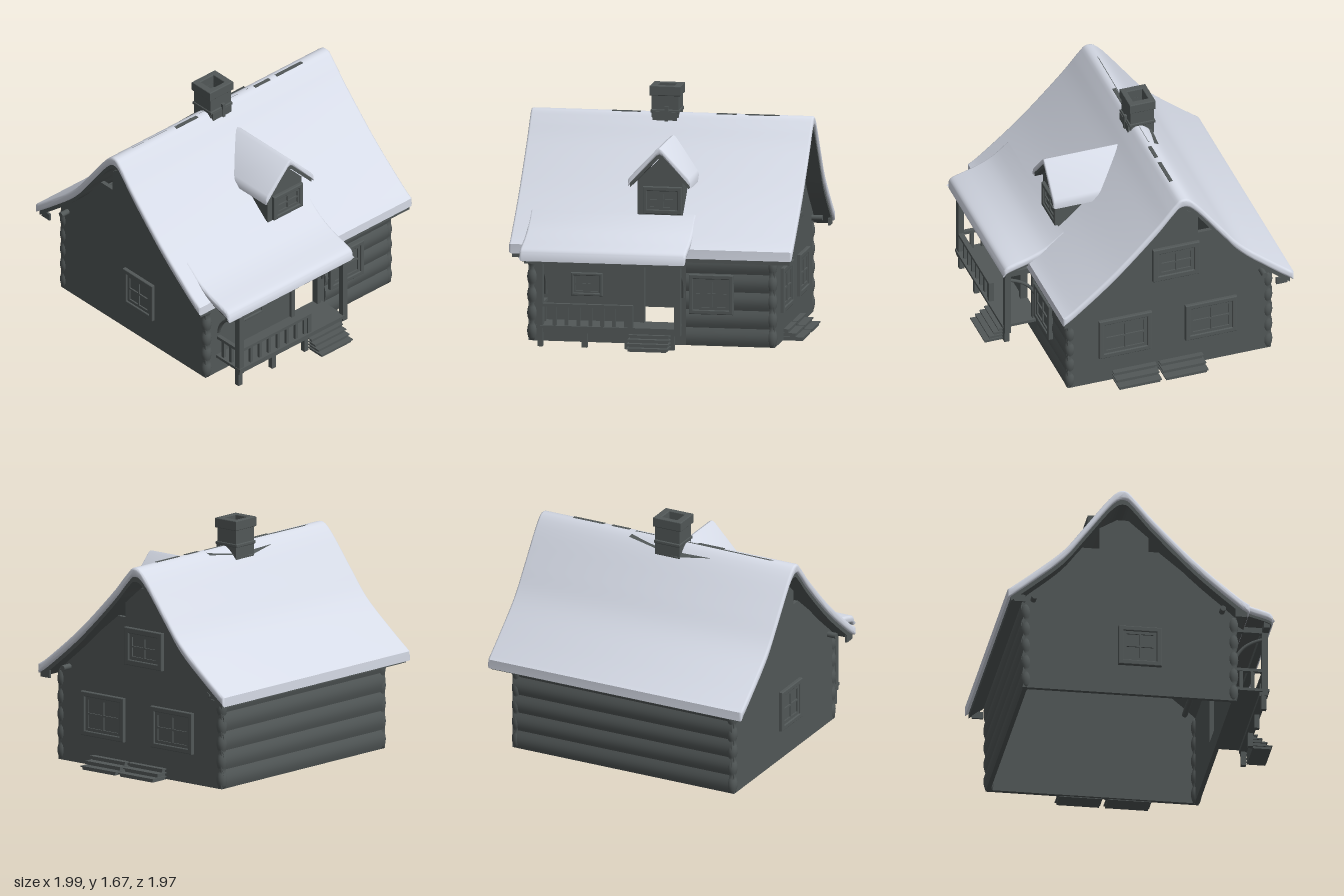
import * as THREE from 'three';
import { toCreasedNormals } from 'three/addons/utils/BufferGeometryUtils.js';

const wood = new THREE.MeshStandardMaterial({ color: 0x525858 });
wood.name = 'weathered wood';
const snow = new THREE.MeshStandardMaterial({ color: 0xd9deea });
snow.name = 'snow';

const V2 = (a) => a.map(([x, y]) => new THREE.Vector2(x, y));

function add(parent, name, geo, mat = wood) {
  const m = new THREE.Mesh(geo, mat);
  m.name = name;
  parent.add(m);
  return m;
}

// box given by its min and max corners
function box(parent, name, x0, x1, y0, y1, z0, z1, mat = wood) {
  const m = add(parent, name, new THREE.BoxGeometry(x1 - x0, y1 - y0, z1 - z0), mat);
  m.position.set((x0 + x1) / 2, (y0 + y1) / 2, (z0 + z1) / 2);
  return m;
}

// extrude an (x, y) shape from z0 to z1, edges rounded by b
function extrudeZ(shape, z0, z1, b = 0) {
  const g = new THREE.ExtrudeGeometry(shape, {
    depth: z1 - z0 - 2 * b, bevelEnabled: b > 0, bevelSize: b,
    bevelThickness: b, bevelOffset: -b, bevelSegments: 3,
  });
  g.translate(0, 0, z0 + b);
  return g;
}

// extrude a (z, y) shape from x0 to x1
function extrudeX(shape, x0, x1, b = 0) {
  const g = extrudeZ(shape, -x1, -x0, b);
  g.rotateY(-Math.PI / 2);
  return b ? toCreasedNormals(g, 0.9) : g;
}

// slab hanging between two depths below a roof line
function slab(line, d0, d1) {
  return new THREE.Shape([
    ...line.map((p) => new THREE.Vector2(p.x, p.y - d1)),
    ...line.slice().reverse().map((p) => new THREE.Vector2(p.x, p.y - d0)),
  ]);
}

const curve = (pts, n) => new THREE.SplineCurve(V2(pts)).getPoints(n);

// wavy wall face made of stacked logs, bulging towards dir
function logPanel(x0, x1, z, dir, y0, y1) {
  const pts = [[z - dir * 0.03, y1], [z - dir * 0.03, y0]];
  const n = 30;
  for (let i = 0; i <= n; i++) {
    const t = i / n;
    pts.push([z + dir * 0.014 * Math.abs(Math.sin(t * Math.PI * 5)), y0 + (y1 - y0) * t]);
  }
  return toCreasedNormals(extrudeX(new THREE.Shape(V2(pts)), x0, x1), 0.6);
}

// cross-barred window facing +z, centred on its own origin
function makeWindow(parent, name, w, h, f, x, y, z, turn = 0) {
  const g = new THREE.Group();
  g.name = name;
  const rect = (a, b) => V2([[-a, -b], [a, -b], [a, b], [-a, b]]);
  const frame = (a, b, t) => {
    const s = new THREE.Shape(rect(a, b));
    s.holes.push(new THREE.Path(rect(a - t, b - t)));
    return s;
  };
  add(g, 'outerFrame', extrudeZ(frame(w / 2, h / 2, f), -0.01, 0.025, 0.006));
  add(g, 'innerFrame', extrudeZ(frame(w / 2 - f, h / 2 - f, f * 0.6), -0.01, 0.014));
  box(g, 'pane', -w / 2 + f, w / 2 - f, -h / 2 + f, h / 2 - f, -0.002, 0.004);
  box(g, 'mullion', -0.006, 0.006, -h / 2 + f, h / 2 - f, 0, 0.014);
  box(g, 'crossbar', -w / 2 + f, w / 2 - f, -0.006, 0.006, 0, 0.014);
  g.position.set(x, y, z);
  g.rotation.y = turn;
  parent.add(g);
}

export function createModel() {
  const house = new THREE.Group();
  house.name = 'snowyCottage';

  // gable walls, with small gaps left under the rafters
  const gable = new THREE.Shape(V2([
    [-0.86, 0.01], [0.62, 0.01], [0.62, 0.63], [0.32, 0.9], [0.08, 1.095], [0.01, 1.095], [0.01, 1.2],
    [-0.13, 1.32], [-0.21, 1.32], [-0.33, 1.25], [-0.33, 1.095], [-0.45, 1.095], [-0.6, 0.91],
    [-0.82, 0.72], [-0.86, 0.68],
  ]));
  add(house, 'rightGable', extrudeX(gable, 0.82, 0.85));
  add(house, 'leftGable', extrudeX(gable, -0.87, -0.84));

  // front wall with an open doorway, and log faces
  const front = new THREE.Shape(V2([[-0.86, 0.01], [0.84, 0.01], [0.84, 0.64], [-0.86, 0.64]]));
  front.holes.push(new THREE.Path(V2([[-0.06, 0.16], [0.15, 0.16], [0.15, 0.55], [-0.06, 0.55]])));
  add(house, 'frontWall', extrudeZ(front, 0.59, 0.62));
  add(house, 'frontLogs', logPanel(0.23, 0.84, 0.62, 1, 0.01, 0.64));
  add(house, 'backLogs', logPanel(-0.86, 0.84, -0.86, -1, 0.01, 0.68));

  // rounded wobbly corners
  const profile = [[0, 0.01]];
  for (let i = 0; i <= 30; i++) {
    profile.push([0.024 + 0.014 * Math.abs(Math.sin((i / 30) * Math.PI * 5)), 0.012 + 0.63 * i / 30]);
  }
  profile.push([0, 0.645]);
  const cornerGeo = new THREE.LatheGeometry(V2(profile), 14);
  for (const x of [-0.845, 0.825]) for (const z of [-0.84, 0.6]) {
    add(house, 'wallCorner', cornerGeo).position.set(x, 0, z);
  }

  // main roof: boards below, thick snow above
  const roofLine = curve([
    [-0.985, 0.69], [-0.82, 0.82], [-0.6, 1.01], [-0.45, 1.2], [-0.26, 1.445], [-0.17, 1.49],
    [-0.1, 1.43], [0.03, 1.28], [0.32, 0.99], [0.6, 0.755], [0.695, 0.69],
  ], 44);
  add(house, 'roofSnow', extrudeX(slab(roofLine, 0, 0.065), -0.995, 0.98, 0.016), snow);
  const boardLine = roofLine.slice(1, -1);
  add(house, 'roofBoards', extrudeX(slab(boardLine, 0.055, 0.1), -0.975, 0.965));

  // rafter tails and purlin ends at both gables
  for (const x of [-0.975, 0.95]) {
    box(house, 'rafterTail', x, x + 0.015, 0.6, 0.66, 0.6, 0.67);
    box(house, 'rafterTail', x, x + 0.015, 0.61, 0.66, -0.94, -0.86);
  }
  for (const z of [0.52, -0.79]) {
    const p = add(house, 'purlin', new THREE.CylinderGeometry(0.02, 0.02, 1.86, 12));
    p.rotation.z = Math.PI / 2;
    p.position.set(-0.005, 0.675, z);
  }

  // bare patches along the ridge, draped just over the snow
  const patch = new THREE.BufferGeometry();
  patch.setAttribute('position', new THREE.Float32BufferAttribute([
    -0.84, 1.494, -0.19, 0.25, 1.494, -0.18, 0.27, 1.47, -0.25, -0.12, 1.415, -0.3,
  ], 3));
  patch.setIndex([0, 1, 3, 1, 2, 3]);
  patch.computeVertexNormals();
  add(house, 'ridgePatch', patch);
  for (const [x, w] of [[-0.33, 0.1], [0.37, 0.07], [0.62, 0.12]]) {
    box(house, 'ridgePatch', x - w, x + w, 1.484, 1.492, -0.185, -0.16);
  }

  // chimney with hollow cap
  const chimney = new THREE.Group();
  chimney.name = 'chimney';
  house.add(chimney);
  const tube = (name, w, d, y0, y1) => {
    const s = new THREE.Shape(V2([[-w, -d], [w, -d], [w, d], [-w, d]]));
    s.holes.push(new THREE.Path(V2([[-0.06, -0.055], [0.06, -0.055], [0.06, 0.055], [-0.06, 0.055]])));
    const g = extrudeZ(s, y0, y1, 0.006);
    g.rotateX(-Math.PI / 2);
    add(chimney, name, g);
  };
  tube('stack', 0.095, 0.085, 1.4, 1.62);
  tube('cap', 0.108, 0.094, 1.61, 1.68);
  tube('baseBand', 0.1, 0.095, 1.49, 1.515);
  box(chimney, 'flueFloor', -0.06, 0.06, 1.57, 1.58, -0.055, 0.055);
  box(chimney, 'frontStep', -0.085, 0.085, 1.395, 1.5, 0.07, 0.1);
  box(chimney, 'frontRib', 0, 0.025, 1.42, 1.54, 0.08, 0.106);
  chimney.position.set(-0.053, 0, -0.21);

  // dormer, its back cut to follow the main roof slope
  const toRoof = (g) => {
    const p = g.attributes.position;
    for (let i = 0; i < p.count; i++) {
      if (p.getZ(i) < 0.1) p.setZ(i, 0.55 - (p.getY(i) - 0.76) * 1.045);
    }
    g.computeVertexNormals();
    return toCreasedNormals(g, 0.6);
  };
  const dormer = new THREE.Group();
  dormer.name = 'dormer';
  house.add(dormer);
  const dormerLine = V2([[-0.2, 1.125], [-0.185, 1.15], [0, 1.345], [0.02, 1.355], [0.04, 1.345], [0.225, 1.15], [0.24, 1.125]]);
  add(dormer, 'dormerSnow', toRoof(extrudeZ(slab(dormerLine, 0, 0.045), -0.1, 0.505, 0.012)), snow);
  add(dormer, 'dormerBoards', toRoof(extrudeZ(slab(dormerLine.slice(1, -1), 0.04, 0.075), -0.1, 0.495)));
  const dormerWall = new THREE.Shape(V2([[-0.14, 0.88], [0.175, 0.88], [0.175, 1.12], [0.02, 1.28], [-0.14, 1.12]]));
  add(dormer, 'dormerWall', toRoof(extrudeZ(dormerWall, -0.1, 0.45)));
  makeWindow(dormer, 'dormerWindow', 0.27, 0.19, 0.03, 0.035, 0.985, 0.45);

  // windows of the main walls
  makeWindow(house, 'frontWindow', 0.31, 0.275, 0.03, 0.41, 0.372, 0.635);
  makeWindow(house, 'porchWindow', 0.22, 0.16, 0.02, -0.46, 0.415, 0.62);
  const q = Math.PI / 2;
  makeWindow(house, 'sideWindow', 0.385, 0.31, 0.035, 0.85, 0.37, 0.205, q);
  makeWindow(house, 'sideWindow', 0.375, 0.29, 0.035, 0.85, 0.365, -0.42, q);
  makeWindow(house, 'atticWindow', 0.34, 0.265, 0.04, 0.85, 0.9, -0.165, q);
  makeWindow(house, 'leftWindow', 0.3, 0.29, 0.035, -0.87, 0.37, -0.05, -q);

  // door frame
  box(house, 'doorJamb', -0.09, -0.06, 0.16, 0.58, 0.6, 0.64);
  box(house, 'doorJamb', 0.15, 0.18, 0.16, 0.58, 0.6, 0.64);
  box(house, 'doorLintel', -0.09, 0.18, 0.55, 0.58, 0.6, 0.64);

  // porch deck, posts, rails and roof
  const porch = new THREE.Group();
  porch.name = 'porch';
  house.add(porch);
  box(porch, 'deck', -0.775, 0.2, 0.14, 0.16, 0.6, 0.865);
  box(porch, 'deckBeam', -0.76, 0.19, 0.11, 0.14, 0.8, 0.85);
  for (const x of [-0.75, -0.44, -0.14, 0.17]) box(porch, 'stilt', x - 0.018, x + 0.018, 0.01, 0.12, 0.81, 0.846);
  for (const x of [-0.75, 0.21]) {
    box(porch, 'post', x - 0.022, x + 0.022, 0.11, 0.62, 0.815, 0.857);
    const arc = new THREE.QuadraticBezierCurve3(
      new THREE.Vector3(x, 0.54, 0.82), new THREE.Vector3(x, 0.49, 0.65), new THREE.Vector3(x, 0.34, 0.62));
    add(porch, 'curvedBrace', new THREE.TubeGeometry(arc, 12, 0.012, 6));
    box(porch, 'sideBeam', x - 0.02, x + 0.02, 0.58, 0.62, 0.6, 0.85);
  }
  box(porch, 'headBeam', -0.86, 0.24, 0.585, 0.63, 0.815, 0.855);
  box(porch, 'frontRail', -0.75, -0.1, 0.29, 0.312, 0.82, 0.856);
  box(porch, 'sideRail', -0.765, -0.735, 0.29, 0.312, 0.62, 0.85);
  box(porch, 'newel', -0.135, -0.1, 0.15, 0.312, 0.82, 0.855);
  for (let i = 0; i < 7; i++) {
    const x = -0.66 + i * 0.083;
    box(porch, 'baluster', x, x + 0.025, 0.15, 0.3, 0.828, 0.848);
  }
  for (const z of [0.66, 0.74]) box(porch, 'baluster', -0.76, -0.738, 0.15, 0.3, z, z + 0.025);
  const porchLine = curve([[0.44, 0.89], [0.56, 0.795], [0.68, 0.74], [0.8, 0.705], [0.855, 0.685], [0.875, 0.66]], 16);
  add(porch, 'porchSnow', extrudeX(slab(porchLine, 0, 0.055), -0.89, 0.27, 0.018), snow);
  add(porch, 'porchBoards', extrudeX(slab(porchLine.slice(2, -2), 0.048, 0.075), -0.87, 0.25));

  // stairs: stacked treads, longest at the bottom
  const stairs = (name, w, h, run, n) => {
    const g = new THREE.Group();
    g.name = name;
    for (let i = 0; i < n; i++) {
      const y = h * (i + 1) / n;
      const r = run * (1 - i / n);
      box(g, 'riser', -w / 2 + 0.01, w / 2 - 0.01, y - h / n, y - 0.008, 0, r - 0.008);
      box(g, 'tread', -w / 2, w / 2, y - 0.009, y, 0, r);
    }
    house.add(g);
    return g;
  };
  stairs('frontStairs', 0.29, 0.1, 0.135, 4).position.set(0.02, 0.015, 0.85);
  for (const z of [0.14, -0.2]) {
    const s = stairs('sideStairs', 0.315, 0.08, 0.15, 3);
    s.position.set(0.84, 0.005, z);
    s.rotation.y = q;
  }
  return house;
}
